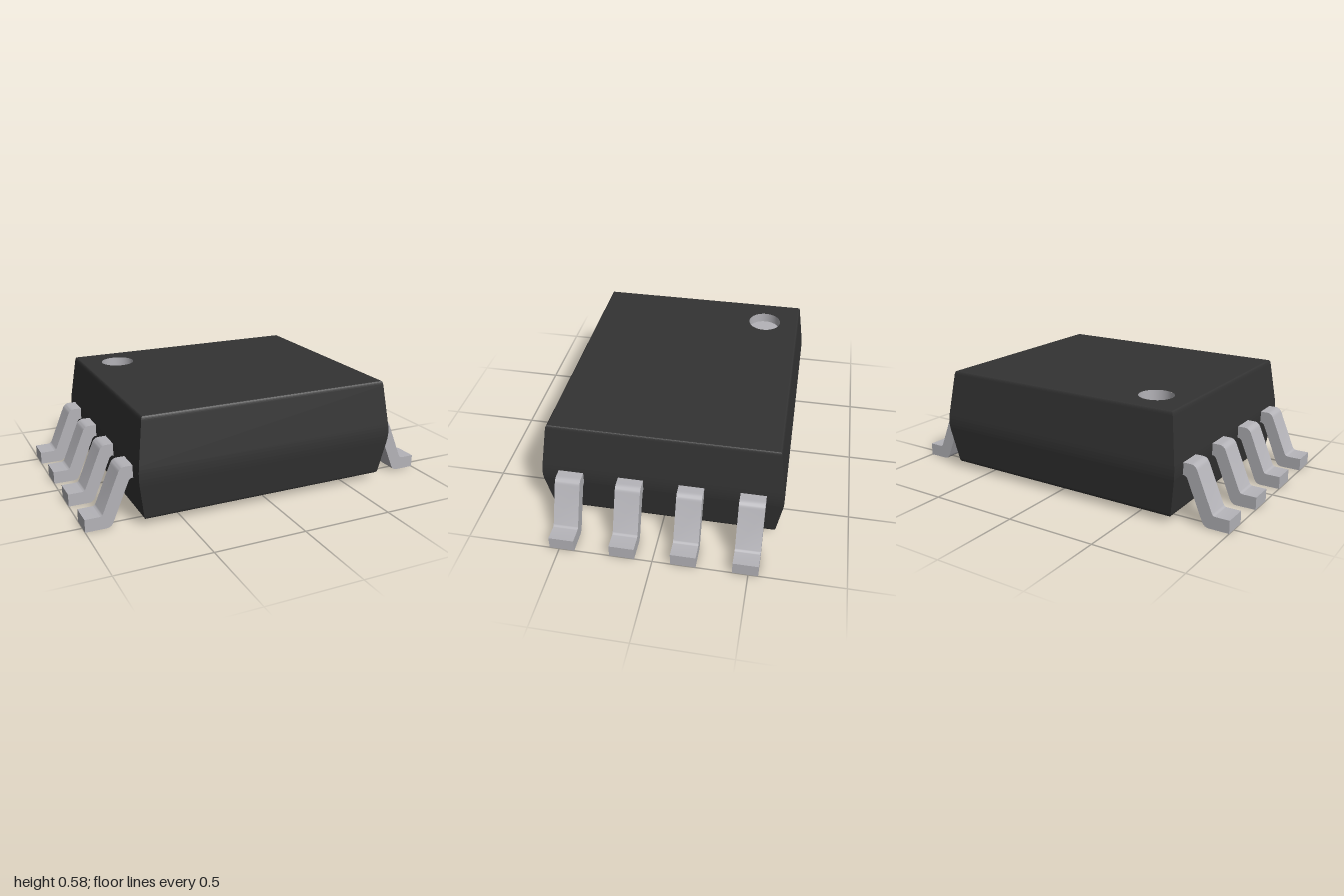
import * as THREE from 'three';
import { toCreasedNormals } from 'three/addons/utils/BufferGeometryUtils.js';

const HALF_X = 0.742, HALF_Z = 0.645;
const BOTTOM = 0.035, TOP = 0.585;
const CAP_INSET = 0.046;
const DOT = { x: -0.5, z: -0.405, radius: 0.094, depth: 0.055 };

// Side profile of the casing as [inset, height], bottom to top, with eased bends
function casingProfile() {
  const path = new THREE.CurvePath();
  const v = (x, y) => new THREE.Vector2(x, y);
  const bend = (a, b, c) => path.add(new THREE.QuadraticBezierCurve(a, b, c));
  bend(v(CAP_INSET, BOTTOM), v(0.036, BOTTOM), v(0.033, 0.055));
  path.add(new THREE.LineCurve(v(0.033, 0.055), v(0.005, 0.235)));
  bend(v(0.005, 0.235), v(-0.003, 0.287), v(0.005, 0.34));
  path.add(new THREE.LineCurve(v(0.005, 0.34), v(0.034, 0.56)));
  bend(v(0.034, 0.56), v(0.037, TOP), v(CAP_INSET, TOP));
  return path.getPoints(6);
}

// Rectangular rings stacked along the profile
function casingWalls() {
  const rings = casingProfile().map(({ x: inset, y }) => {
    const w = HALF_X - inset, d = HALF_Z - inset;
    return [[-w, y, d], [w, y, d], [w, y, -d], [-w, y, -d]];
  });
  const positions = [];
  for (let i = 0; i < rings.length - 1; i++) {
    for (let k = 0; k < 4; k++) {
      const n = (k + 1) % 4;
      const a = rings[i][k], b = rings[i][n], c = rings[i + 1][n], d = rings[i + 1][k];
      positions.push(...a, ...b, ...c, ...a, ...c, ...d);
    }
  }
  const geometry = new THREE.BufferGeometry();
  geometry.setAttribute('position', new THREE.Float32BufferAttribute(positions, 3));
  geometry.computeVertexNormals();
  return geometry;
}

// Flat rectangle closing the casing, lying in the xy plane
function capShape() {
  const w = HALF_X - CAP_INSET, d = HALF_Z - CAP_INSET;
  return new THREE.Shape([[-w, -d], [w, -d], [w, d], [-w, d]].map(p => new THREE.Vector2(...p)));
}

// Gull-wing lead: bent strip extruded across its width
function leadGeometry() {
  const s = new THREE.Shape();
  s.moveTo(0.7, 0.25);
  s.lineTo(0.745, 0.25);
  s.quadraticCurveTo(0.758, 0.25, 0.765, 0.235);
  s.lineTo(0.852, 0.028);
  s.quadraticCurveTo(0.864, 0, 0.89, 0);
  s.lineTo(1, 0);
  s.lineTo(1, 0.07);
  s.lineTo(0.925, 0.07);
  s.quadraticCurveTo(0.91, 0.07, 0.903, 0.085);
  s.lineTo(0.818, 0.288);
  s.quadraticCurveTo(0.807, 0.316, 0.78, 0.316);
  s.lineTo(0.7, 0.316);
  s.closePath();
  const width = 0.134;
  const geometry = new THREE.ExtrudeGeometry(s, { depth: width, bevelEnabled: false, curveSegments: 6 });
  geometry.translate(0, 0, -width / 2);
  return toCreasedNormals(geometry, 0.5);
}

export function createModel() {
  const plastic = new THREE.MeshStandardMaterial({ color: 0x333333 });
  plastic.name = 'dark plastic';
  const metal = new THREE.MeshStandardMaterial({ color: 0xb4b3b8 });
  metal.name = 'grey metal';

  const model = new THREE.Group();
  model.name = 'chip';
  const add = (parent, name, geometry, material) => {
    const mesh = new THREE.Mesh(geometry, material);
    mesh.name = name;
    parent.add(mesh);
    return mesh;
  };

  // Casing: walls, underside and a top pierced for the marker
  const casing = new THREE.Group();
  casing.name = 'casing';
  model.add(casing);
  add(casing, 'casingWalls', casingWalls(), plastic);
  const bottom = add(casing, 'casingBottom', new THREE.ShapeGeometry(capShape()), plastic);
  bottom.rotation.x = Math.PI / 2;
  bottom.position.y = BOTTOM;
  const topShape = capShape();
  topShape.holes.push(new THREE.Path().absarc(DOT.x, -DOT.z, DOT.radius, 0, Math.PI * 2, true));
  const top = add(casing, 'casingTop', new THREE.ShapeGeometry(topShape, 48), plastic);
  top.rotation.x = -Math.PI / 2;
  top.position.y = TOP;

  // Recessed round marker beside the first lead: floor and inward-facing wall
  const marker = new THREE.Group();
  marker.name = 'pinMarker';
  marker.position.set(DOT.x, TOP - DOT.depth, DOT.z);
  model.add(marker);
  const floor = add(marker, 'markerFloor', new THREE.CircleGeometry(DOT.radius, 48), metal);
  floor.rotation.x = -Math.PI / 2;
  const wallGeometry = new THREE.LatheGeometry(
    [new THREE.Vector2(DOT.radius, DOT.depth), new THREE.Vector2(DOT.radius, 0)], 48);
  add(marker, 'markerWall', wallGeometry, metal);

  // Four leads along each side
  const lead = leadGeometry();
  for (const side of [1, -1]) {
    const row = new THREE.Group();
    row.name = side > 0 ? 'leftLeads' : 'rightLeads';
    row.rotation.y = side > 0 ? 0 : Math.PI;
    model.add(row);
    for (const z of [-0.485, -0.162, 0.162, 0.485]) {
      add(row, 'lead', lead, metal).position.z = z;
    }
  }
  return model;
}
